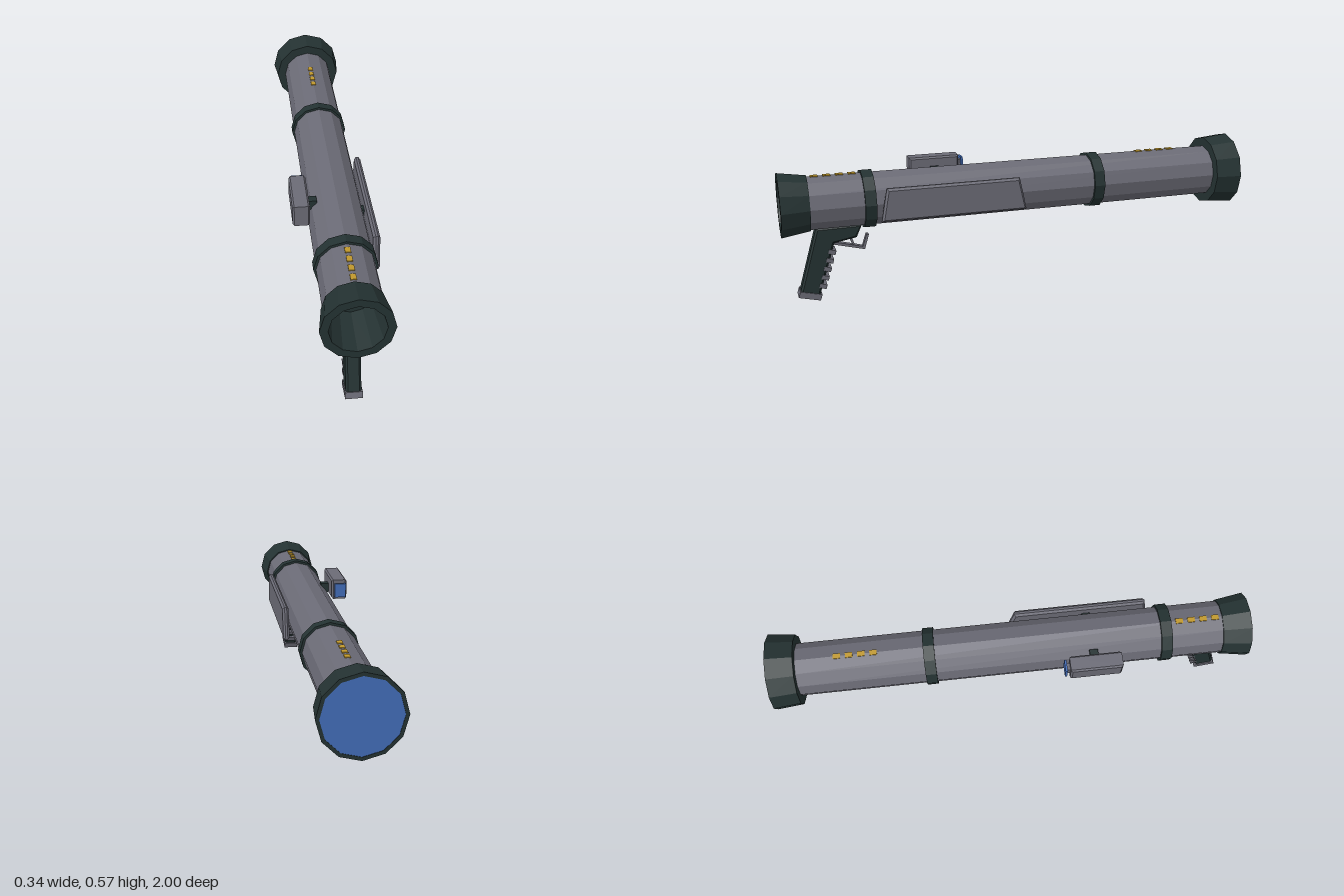
import * as THREE from 'three';

const CX = 0.008, CY = 0.413; // axis of the tube

const paint = (name, color) => {
  const m = new THREE.MeshStandardMaterial({ color });
  m.name = name;
  return m;
};

export function createModel() {
  const model = new THREE.Group();
  model.name = 'launcher';
  const grey = paint('steel grey', 0x6b6b76);
  const green = paint('dark green', 0x243232);
  const blue = paint('lens blue', 0x426cb8);
  const yellow = paint('marking yellow', 0xc0982c);

  // Faceted mesh: every face gets its own normals
  function add(name, geometry, material) {
    const g = geometry.index ? geometry.toNonIndexed() : geometry;
    g.computeVertexNormals();
    const mesh = new THREE.Mesh(g, material);
    mesh.name = name;
    model.add(mesh);
    return mesh;
  }

  // Twelve-sided turned part along z, profile given as [radius, z]
  function turned(name, profile, material) {
    const g = new THREE.LatheGeometry(profile.map(([r, z]) => new THREE.Vector2(r, z)), 12);
    g.rotateX(Math.PI / 2);
    add(name, g, material).position.set(CX, CY, 0);
  }

  // Side outline given as [z, y], extruded from x0 to x1 with a bevelled edge
  function sidePart(name, outline, x0, x1, bevel, material) {
    const shape = new THREE.Shape(outline.map(([z, y]) => new THREE.Vector2(-z, y)));
    const g = new THREE.ExtrudeGeometry(shape, {
      depth: x1 - x0 - 2 * bevel, bevelEnabled: bevel > 0, bevelSize: bevel,
      bevelThickness: bevel, bevelOffset: -bevel, bevelSegments: 1,
    });
    g.rotateY(Math.PI / 2);
    add(name, g, material).position.x = x0 + bevel;
  }

  function box(name, [w, h, d], [x, y, z], material, tilt = 0) {
    const mesh = add(name, new THREE.BoxGeometry(w, h, d), material);
    mesh.position.set(x, y, z);
    mesh.rotation.x = tilt;
  }

  // Tube, end caps and bands
  turned('tube', [[0.111, -0.9], [0.111, 0.9]], grey);
  turned('muzzleCap', [[0.105, 0.885], [0.116, 0.885], [0.134, 1], [0.103, 1],
    [0.083, 0.82], [0, 0.82]], green);
  turned('rearCap', [[0, -0.99], [0.146, -0.99], [0.146, -1], [0.16, -1],
    [0.149, -0.888], [0.105, -0.888]], green);
  turned('rearDisc', [[0, -0.998], [0.146, -0.998], [0.146, -0.992]], blue);
  for (const z of [0.647, -0.338]) {
    turned('band', [[0.105, z - 0.023], [0.121, z - 0.023], [0.121, z + 0.023],
      [0.105, z + 0.023]], green);
  }

  // Side panel on its mount
  sidePart('sidePanel', [[0.61, 0.345], [0.585, 0.482], [0.03, 0.482], [0, 0.345]],
    0.121, 0.148, 0.009, grey);
  box('panelMount', [0.03, 0.05, 0.035], [0.113, CY, 0.335], green);

  // Sight on the right side
  sidePart('sightBody', [[0.445, 0.45], [0.445, 0.538], [0.23, 0.538], [0.23, 0.45]],
    -0.17, -0.102, 0.007, grey);
  box('sightMount', [0.05, 0.04, 0.035], [-0.093, 0.478, 0.338], green);
  box('sightNeck', [0.03, 0.04, 0.03], [-0.137, 0.494, 0.23], grey);
  box('sightLens', [0.05, 0.062, 0.009], [-0.137, 0.494, 0.213], blue);

  // Grip with its upper block, foot and finger ridges
  sidePart('grip', [[0.862, 0.31], [0.942, 0.035], [0.864, 0.015], [0.792, 0.24],
    [0.7, 0.256], [0.675, 0.31]], -0.021, 0.037, 0.008, green);
  sidePart('gripFoot', [[0.942, 0.047], [0.95, 0.022], [0.862, 0], [0.854, 0.025]],
    -0.025, 0.041, 0, grey);
  for (let i = 0; i < 5; i++) {
    const y = 0.06 + 0.036 * i;
    box('gripRidge', [0.062, 0.018, 0.03], [CX, y, 0.789 + (0.25 - y) * 0.31], grey, -0.31);
  }

  // Trigger guard with an upturned end, and the trigger
  sidePart('triggerGuard', [[0.795, 0.242], [0.793, 0.23], [0.667, 0.197], [0.648, 0.26],
    [0.658, 0.262], [0.675, 0.21]], CX - 0.012, CX + 0.012, 0, grey);
  sidePart('trigger', [[0.735, 0.265], [0.722, 0.265], [0.708, 0.222], [0.716, 0.22]],
    CX - 0.007, CX + 0.007, 0, grey);

  // Plain yellow dashes along the top ridge
  for (const start of [-0.715, 0.705]) {
    for (let i = 0; i < 4; i++) {
      box('topMark', [0.022, 0.004, 0.03], [CX, CY + 0.111, start + 0.05 * i], yellow);
    }
  }
  return model;
}
